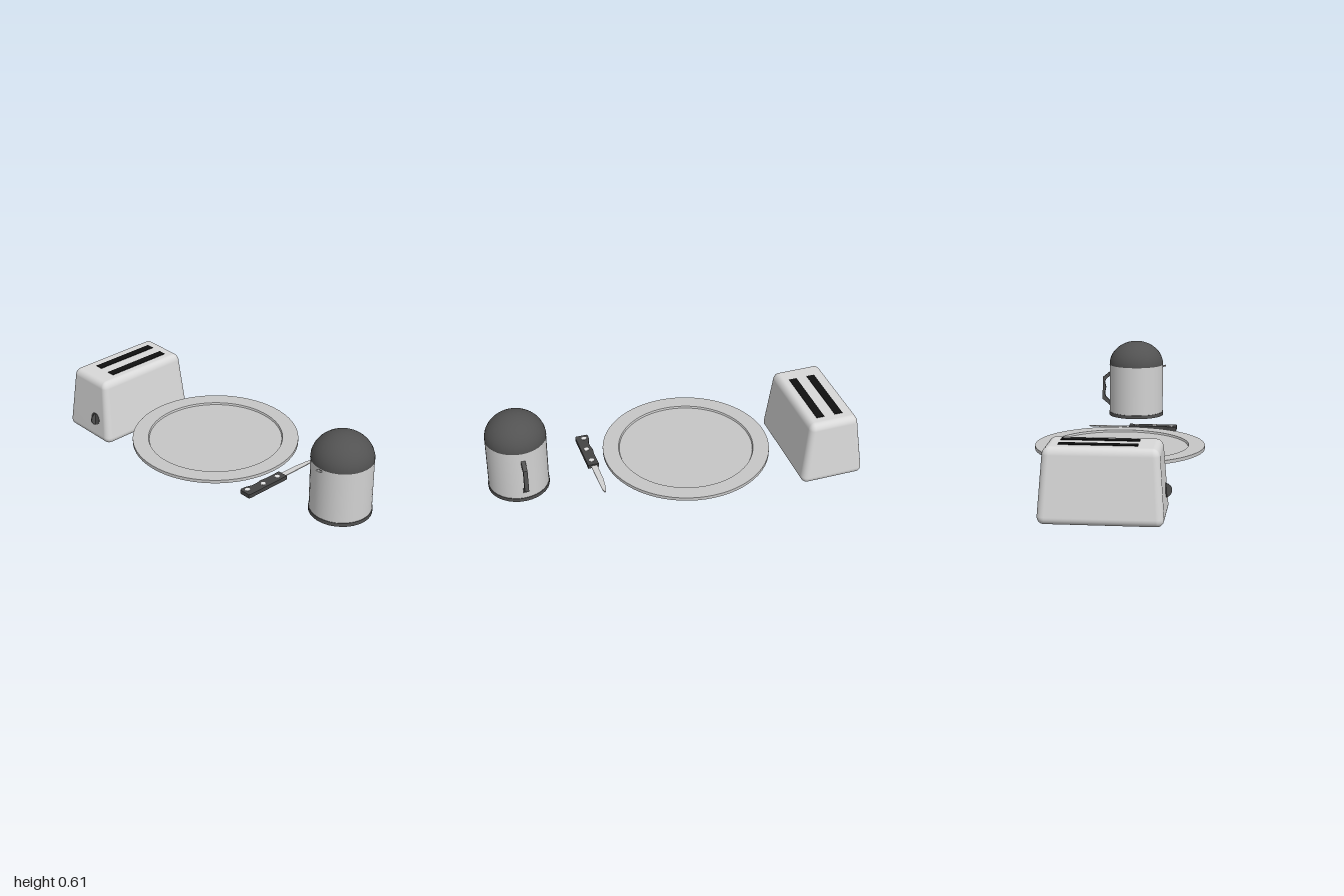
import * as THREE from 'three';
import { mergeVertices, toCreasedNormals } from 'three/addons/utils/BufferGeometryUtils.js';
import { RoundedBoxGeometry } from 'three/addons/geometries/RoundedBoxGeometry.js';

const material = (name, color) => {
  const m = new THREE.MeshStandardMaterial({ color });
  m.name = name;
  return m;
};

export function createModel() {
  const shell = material('pale enamel', 0xd8d8d8);
  const china = material('grey china', 0xc6c6c6);
  const steel = material('steel', 0xd2d2d2);
  const dark = material('dark grey plastic', 0x525252);
  const grip = material('charcoal grip', 0x444444);
  const black = material('black', 0x101010);
  const rivetWhite = material('rivet metal', 0xe4e4e4);

  const model = new THREE.Group();
  const group = (name, x, y, z) => {
    const g = new THREE.Group();
    g.name = name;
    g.position.set(x, y, z);
    model.add(g);
    return g;
  };
  const add = (parent, name, geometry, mat, x = 0, y = 0, z = 0) => {
    const mesh = new THREE.Mesh(geometry, mat);
    mesh.name = name;
    mesh.position.set(x, y, z);
    parent.add(mesh);
    return mesh;
  };
  const extrude = (points, depth) => new THREE.ExtrudeGeometry(
    new THREE.Shape(points.map(([x, y]) => new THREE.Vector2(x, y))),
    { depth, bevelEnabled: false });
  // Outline in x and z, with its upper face at y = 0
  const flatSlab = (points, thickness) => extrude(points, thickness).rotateX(Math.PI / 2);

  // Toaster: rounded box that narrows towards the top
  const toaster = group('toaster', -0.823, 0, 0);
  const height = 0.365;
  let body = new RoundedBoxGeometry(0.36, height, 0.604, 5, 0.038);
  body.translate(0, height / 2, 0);
  body.clearGroups();
  body.deleteAttribute('uv');
  body.deleteAttribute('normal');
  body = mergeVertices(body, 1e-5);
  const p = body.attributes.position;
  for (let i = 0; i < p.count; i++) {
    const t = p.getY(i) / height;
    p.setX(i, p.getX(i) * (1 - 0.25 * t));
    p.setZ(i, p.getZ(i) * (1 - 0.09 * t));
  }
  body.computeVertexNormals();
  add(toaster, 'toasterBody', body, shell);
  for (const x of [-0.047, 0.058]) {
    add(toaster, 'breadSlot', new THREE.BoxGeometry(0.044, 0.008, 0.378), black, x, 0.364, -0.02);
  }
  // Dial with an upright fin
  add(toaster, 'dial', new THREE.CylinderGeometry(0.035, 0.035, 0.014, 24).rotateX(Math.PI / 2 - 0.08),
    dark, 0.062, 0.125, 0.288);
  add(toaster, 'dialFin', new THREE.CylinderGeometry(0.035, 0.035, 0.006, 24).rotateZ(Math.PI / 2),
    dark, 0.062, 0.125, 0.287);

  // Plate with a sunken middle
  const plate = group('plate', -0.08, 0.177, 0);
  const profile = [[0, 0], [0.447, 0], [0.447, 0.018], [0.362, 0.018], [0.358, 0.008], [0, 0.008]]
    .map(([r, y]) => new THREE.Vector2(r, y));
  add(plate, 'dish', toCreasedNormals(new THREE.LatheGeometry(profile, 64), 0.6), china);

  // Knife
  const knife = group('knife', 0, 0, 0);
  add(knife, 'knifeBlade', flatSlab([
    [0.416, 0.01], [0.45, 0.01], [0.448, -0.205], [0.441, -0.23], [0.433, -0.222],
    [0.425, -0.185], [0.418, -0.12],
  ], 0.005), steel, 0, 0.185, 0);
  add(knife, 'knifeHandle', flatSlab([
    [0.406, 0], [0.465, 0], [0.465, 0.258], [0.461, 0.266], [0.4, 0.266], [0.394, 0.255],
    [0.397, 0.225], [0.408, 0.195], [0.409, 0.165], [0.403, 0.13], [0.408, 0.08],
  ], 0.022), grip, 0, 0.193, 0);
  for (const [x, z] of [[0.435, 0.04], [0.435, 0.14], [0.422, 0.237]]) {
    add(knife, 'rivet', new THREE.CylinderGeometry(0.014, 0.014, 0.004, 8), rivetWhite, x, 0.1925, z);
  }

  // Kettle
  const kettle = group('kettle', 0.84, 0, 0);
  add(kettle, 'kettleBase', new THREE.CylinderGeometry(0.16, 0.16, 0.02, 32), dark, 0, 0.186, 0);
  add(kettle, 'kettleBody', new THREE.CylinderGeometry(0.157, 0.157, 0.28, 32), steel, 0, 0.336, 0);
  add(kettle, 'kettleLid', new THREE.SphereGeometry(0.158, 32, 14, 0, Math.PI * 2, 0, Math.PI / 2)
    .scale(1, 0.137 / 0.158, 1), dark, 0, 0.476, 0);
  add(kettle, 'spout', new THREE.BoxGeometry(0.024, 0.006, 0.03), steel, 0, 0.466, 0.161).rotation.x = -0.35;
  add(kettle, 'spoutOpening', new THREE.BoxGeometry(0.022, 0.008, 0.004), dark, 0, 0.466, 0.157);

  // Angular handle at the back, outlined in z and y
  const handle = extrude([
    [-0.15, 0.436], [-0.198, 0.396], [-0.2, 0.266], [-0.15, 0.224], [-0.15, 0.25],
    [-0.182, 0.28], [-0.187, 0.3], [-0.18, 0.335], [-0.187, 0.365], [-0.182, 0.383], [-0.15, 0.41],
  ], 0.022).rotateY(-Math.PI / 2);
  add(kettle, 'kettleHandle', handle, dark, 0.011, 0, 0);

  return model;
}
